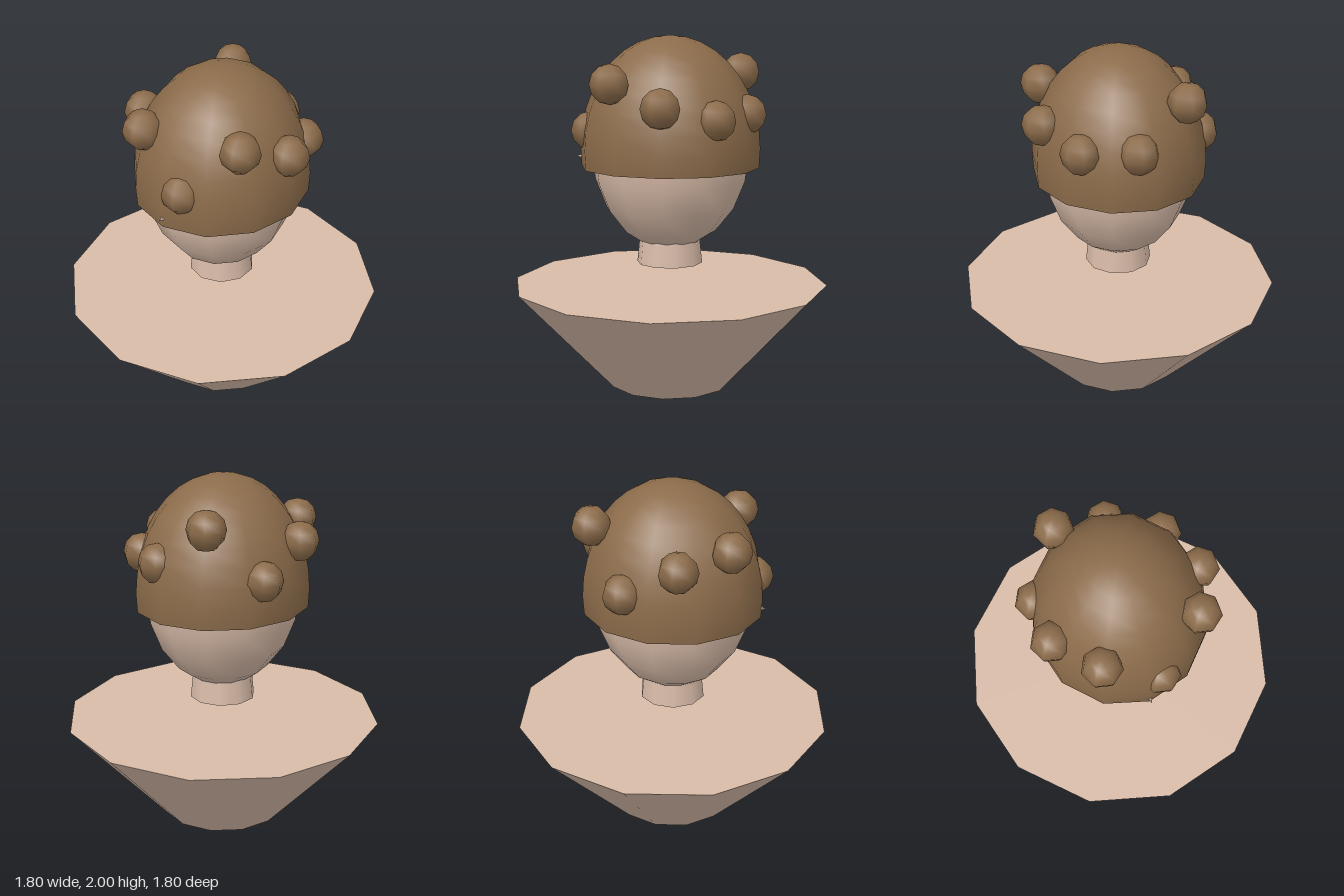
import * as THREE from 'three';

export function createModel() {
  const group = new THREE.Group();
  const skin = new THREE.MeshStandardMaterial({ color: 0xd8bba8 });
  skin.name = 'skin';
  const hairBrown = new THREE.MeshStandardMaterial({ color: 0x8b6b4a, side: THREE.DoubleSide });
  hairBrown.name = 'hairBrown';

  const add = (name, geometry, material, x, y, z) => {
    const mesh = new THREE.Mesh(geometry, material);
    mesh.name = name;
    mesh.position.set(x, y, z);
    group.add(mesh);
    return mesh;
  };

  // Tapered bust and separate neck
  add('torso', new THREE.CylinderGeometry(0.9, 0.35, 0.59, 12), skin, 0, 0.297, 0);
  add('neck', new THREE.CylinderGeometry(0.168, 0.187, 0.19, 10), skin, 0, 0.805, 0);

  // Egg-shaped head
  add('head', new THREE.SphereGeometry(1, 12, 10), skin, 0, 1.36, 0).scale.set(0.43, 0.57, 0.45);

  // Small pointed nose, its tip just poking out
  const nose = new THREE.ConeGeometry(0.05, 0.12, 5);
  nose.rotateX(Math.PI / 2);
  add('nose', nose, skin, 0, 1.315, 0.475);

  // Hair cap, open underneath
  const cap = new THREE.SphereGeometry(1, 12, 10, 0, Math.PI * 2, 0, Math.PI * 0.55);
  add('hairCap', cap, hairBrown, 0, 1.36, 0).scale.set(0.481, 0.64, 0.512);

  // Ring of curls at uneven heights
  const curl = new THREE.SphereGeometry(0.11, 7, 6);
  const heights = [1.625, 1.745, 1.47, 1.72, 1.66, 1.5, 1.785, 1.57, 1.555];
  heights.forEach((y, i) => {
    const a = (i / heights.length) * Math.PI * 2;
    add('curl', curl, hairBrown, 0.445 * Math.cos(a), y, 0.445 * Math.sin(a));
  });

  return group;
}
